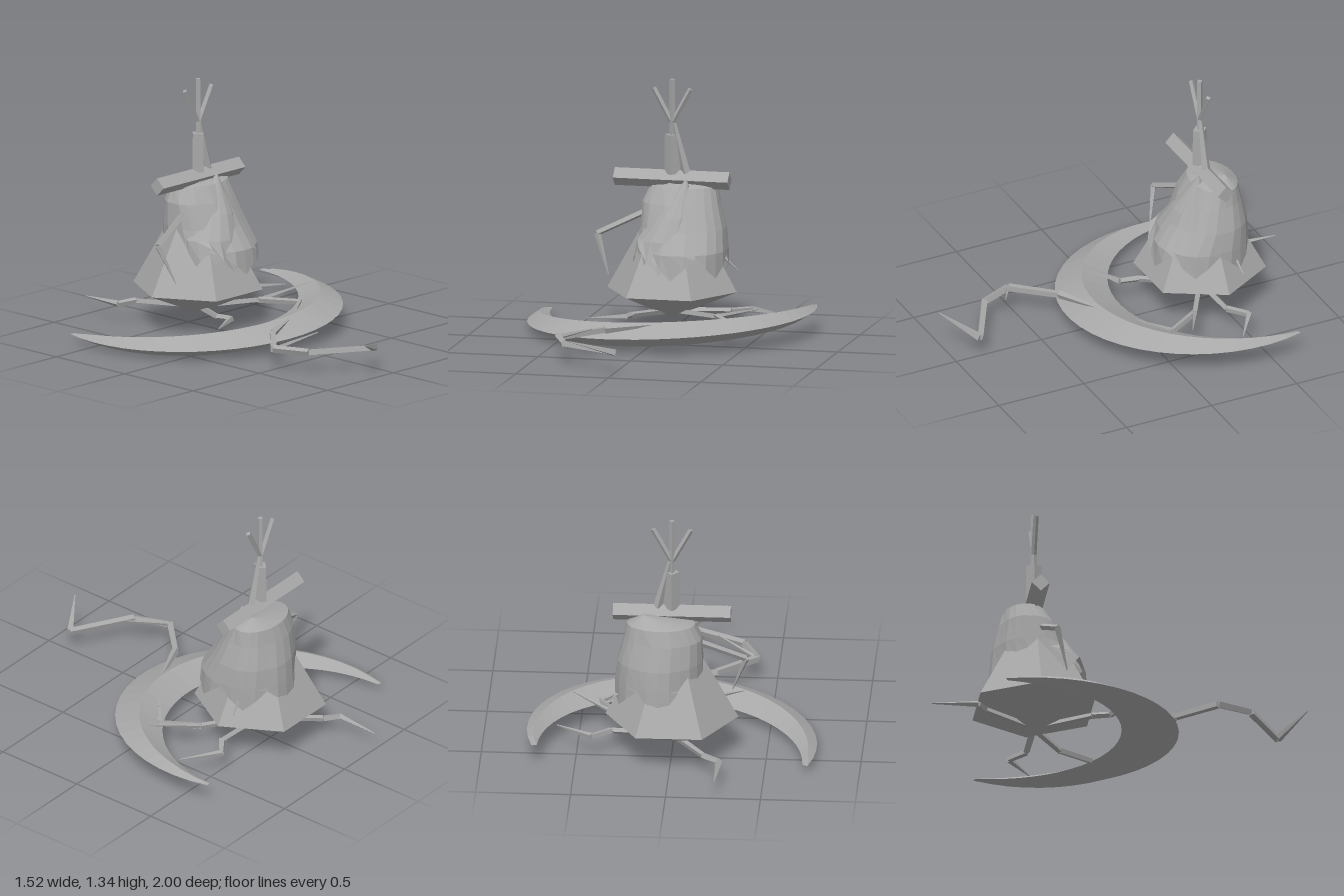
import * as THREE from 'three';

const stone = new THREE.MeshStandardMaterial({ color: 0xa8a8a8, flatShading: true, side: THREE.DoubleSide });
stone.name = 'stone grey';

const V = (x, y, z) => new THREE.Vector3(x, y, z);

function add(parent, name, geometry) {
  const mesh = new THREE.Mesh(geometry, stone);
  mesh.name = name;
  parent.add(mesh);
  return mesh;
}

// Skin between successive closed rings of points
function loft(rings) {
  const pos = [];
  for (let i = 0; i < rings.length - 1; i++) {
    const n = rings[i].length;
    for (let j = 0; j < n; j++) {
      const k = (j + 1) % n;
      const a = rings[i][j], b = rings[i + 1][j], c = rings[i + 1][k], d = rings[i][k];
      for (const p of [a, b, c, a, c, d]) pos.push(p.x, p.y, p.z);
    }
  }
  const g = new THREE.BufferGeometry();
  g.setAttribute('position', new THREE.Float32BufferAttribute(pos, 3));
  g.computeVertexNormals();
  return g;
}

// Four-sided tapered rod between two points
function rod(parent, name, p, q, r0, r1) {
  const a = V(...p), b = V(...q), dir = b.clone().sub(a);
  const mesh = add(parent, name, new THREE.CylinderGeometry(r1, r0, dir.length(), 4));
  mesh.position.copy(a).add(b).multiplyScalar(0.5);
  mesh.quaternion.setFromUnitVectors(V(0, 1, 0), dir.normalize());
}

// Jointed limb ending in a point
function limb(parent, name, points, r = 0.018) {
  const group = new THREE.Group();
  group.name = name;
  parent.add(group);
  for (let i = 0; i < points.length - 1; i++) {
    const last = i === points.length - 2;
    rod(group, last ? 'claw' : 'limbSegment', points[i], points[i + 1], r, last ? 0.003 : r * 0.9);
  }
}

// Draped cloth: elliptical rings [y, cx, cz, rx, rz] with a zigzag hem
function drape(rings, sides, hemLow, hemHigh) {
  return loft(rings.map(([y, cx, cz, rx, rz], i) =>
    Array.from({ length: sides }, (_, j) => {
      const a = (j / sides) * Math.PI * 2;
      const hem = i === rings.length - 1;
      const height = hem ? (j % 4 === 0 ? hemLow : j % 4 === 2 ? hemHigh : (hemLow + hemHigh) / 2) : y;
      const fold = i > 1 && j % 4 === 2 ? 0.97 : 1;
      return V(cx + rx * fold * Math.sin(a), height, cz + rz * fold * Math.cos(a));
    })));
}

export function createModel() {
  const model = new THREE.Group();
  model.name = 'crescentRider';

  // Crescent hull: diamond section swept between two arcs, tilted up to +x
  const stations = [];
  for (let i = 0; i <= 28; i++) {
    const t = i / 14 - 1;
    const ao = 1.88 * t, ai = 1.55 * t;
    const ox = 0.763 * Math.sin(ao), oz = -0.43 + 0.763 * Math.cos(ao);
    const ix = 0.70 * Math.sin(ai), iz = -0.67 + 0.70 * Math.cos(ai);
    const mx = (ox + ix) / 2, mz = (oz + iz) / 2;
    const h = 0.064 * Math.pow(Math.max(0, 1 - t * t), 0.7);
    const y = x => 0.081 + 0.054 * x;
    stations.push([V(ox, y(ox), oz), V(mx, y(mx) + h, mz), V(ix, y(ix), iz), V(mx, y(mx) - h, mz)]);
  }
  add(model, 'crescentHull', loft(stations));

  // Six-sided skirt with a shallow pointed underside
  const upper = add(model, 'skirt', new THREE.ConeGeometry(0.35, 0.63, 6, 1, true));
  upper.rotation.y = Math.PI / 6;
  upper.position.set(0, 0.525, -0.43);
  const under = add(model, 'skirtUnderside', new THREE.ConeGeometry(0.35, 0.15, 6, 1, true));
  under.rotation.set(Math.PI, Math.PI / 6, 0);
  under.position.set(0, 0.135, -0.43);

  // Big back hood and smaller front fold, both with ragged hems
  add(model, 'hood', drape([
    [0.82, 0.15, -0.505, 0.001, 0.001],
    [0.765, 0.055, -0.475, 0.18, 0.12],
    [0.68, 0.045, -0.46, 0.21, 0.16],
    [0.55, 0.06, -0.44, 0.23, 0.21],
    [0.44, 0.065, -0.405, 0.24, 0.255],
    [0.35, 0.062, -0.40, 0.245, 0.265],
  ], 24, 0.31, 0.42));
  add(model, 'frontFold', drape([
    [0.815, 0.09, -0.38, 0.001, 0.001],
    [0.62, 0.04, -0.37, 0.115, 0.115],
    [0.5, 0, -0.345, 0.165, 0.15],
    [0.4, -0.01, -0.315, 0.17, 0.165],
  ], 16, 0.33, 0.47));

  // Crossbeam set on edge
  const beam = add(model, 'crossbeam', new THREE.BoxGeometry(0.62, 0.067, 0.067));
  beam.rotation.x = Math.PI / 4;
  beam.position.set(0, 0.803, -0.43);

  // Mast with three prongs and a side strut
  const mast = new THREE.Group();
  mast.name = 'mast';
  mast.position.z = -0.43;
  model.add(mast);
  rod(mast, 'mastBase', [0, 0.83, 0], [0, 1.04, 0], 0.042, 0.04);
  rod(mast, 'centreProng', [0, 1.0, 0], [0, 1.335, 0], 0.017, 0.016);
  for (const s of [-1, 1]) rod(mast, 'sideProng', [0, 1.1, 0], [s * 0.1, 1.285, 0], 0.014, 0.014);
  rod(mast, 'mastStrut', [0.076, 0.835, 0], [0.01, 1.1, 0], 0.024, 0.012);

  // Arm and small spike
  limb(model, 'arm', [[-0.09, 0.65, -0.42], [-0.385, 0.51, -0.35], [-0.31, 0.3, -0.29]]);
  limb(model, 'spike', [[0.24, 0.4, -0.5], [0.335, 0.31, -0.52]], 0.012);

  // Legs spreading from under the skirt
  limb(model, 'leftFrontLeg', [[0, 0.1, -0.43], [0.28, 0.11, -0.26], [0.395, 0.11, -0.07], [0.24, 0.13, 0.06]]);
  limb(model, 'leftFrontClaw', [[0.28, 0.11, -0.26], [0.54, 0.185, -0.12]], 0.014);
  limb(model, 'leftBackLeg', [[0, 0.1, -0.43], [0.32, 0.11, -0.43], [0.42, 0.11, -0.51], [0.61, 0.11, -0.38]]);
  limb(model, 'rightFrontLeg', [[0, 0.1, -0.43], [-0.15, 0.12, -0.14], [-0.155, 0.13, -0.04], [-0.35, 0.13, 0.06]]);
  limb(model, 'rightBackLeg', [[0, 0.1, -0.43], [-0.18, 0.11, -0.71], [-0.267, 0.1, -0.755], [-0.255, 0.095, -1]]);

  // Long limb reaching forward off the hull
  limb(model, 'forwardLimb', [[-0.39, 0.11, 0.5], [-0.19, 0.12, 0.3], [0.1, 0.14, 0.17]], 0.022);
  limb(model, 'forwardLimbEnd', [[-0.39, 0.11, 0.5], [-0.315, 0.11, 0.68], [0, 0.11, 0.86], [-0.21, 0.183, 0.995]], 0.022);
  limb(model, 'forwardClaw', [[-0.39, 0.11, 0.5], [-0.18, 0.183, 0.62]], 0.014);

  return model;
}
